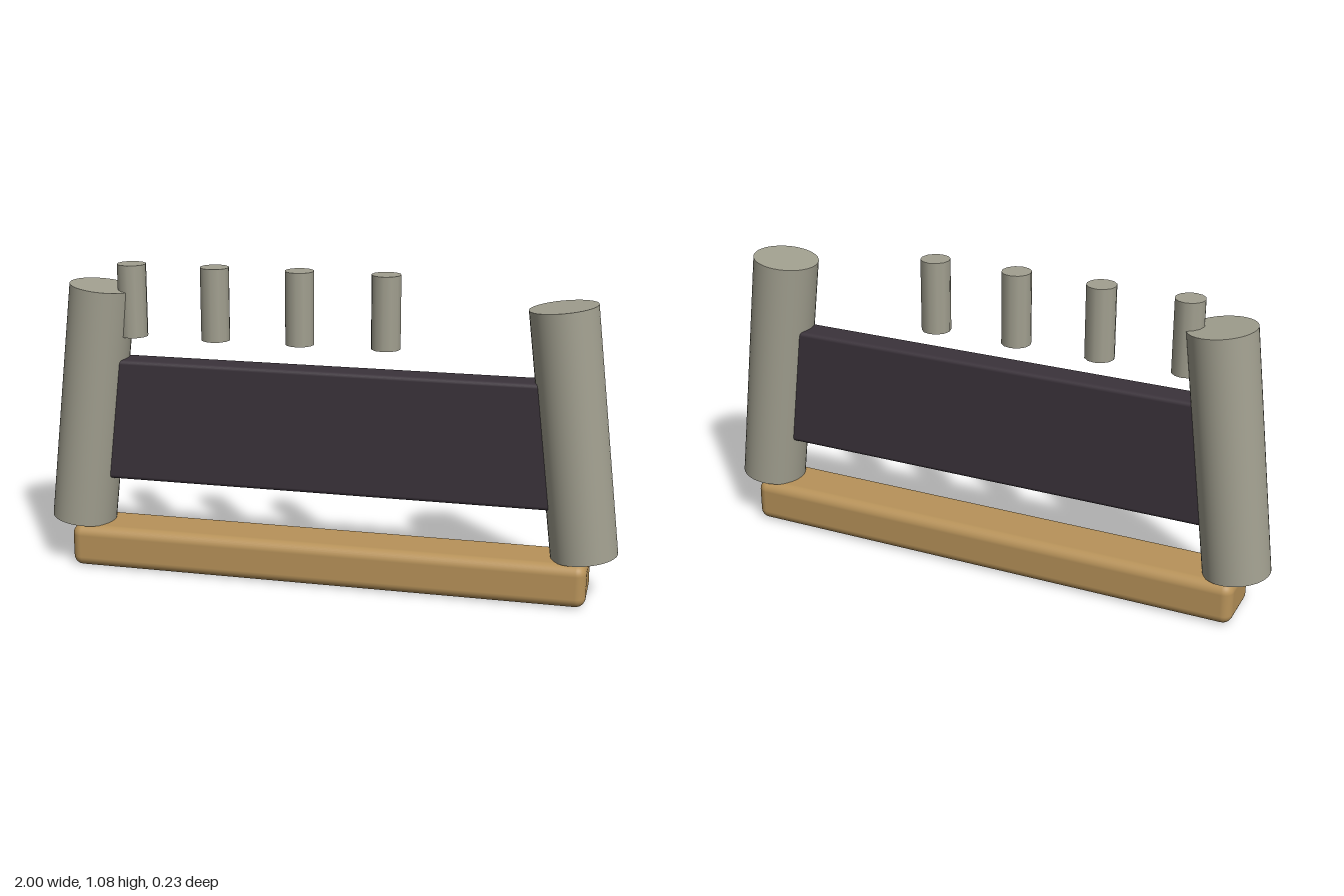
import * as THREE from 'three';
import { RoundedBoxGeometry } from 'three/addons/geometries/RoundedBoxGeometry.js';

export function createModel() {
  const model = new THREE.Group();
  const material = (name, color) => {
    const m = new THREE.MeshStandardMaterial({ color });
    m.name = name;
    return m;
  };
  const stone = material('warm grey', 0xa2a090);
  const wood = material('tan wood', 0xb8935a);
  const dark = material('dark plum', 0x3b333b);

  const add = (name, geometry, mat, x, y) => {
    const mesh = new THREE.Mesh(geometry, mat);
    mesh.name = name;
    mesh.position.set(x, y, 0);
    model.add(mesh);
    return mesh;
  };

  // Softly rounded base bar
  add('base', new RoundedBoxGeometry(1.81, 0.15, 0.208, 4, 0.035), wood, 0, 0.075);

  // Panel held between the posts, with narrow bevelled edges
  add('panel', new RoundedBoxGeometry(1.6, 0.43, 0.104, 2, 0.014), dark, 0, 0.535);

  // Two posts leaning inwards
  const postGeometry = new THREE.CylinderGeometry(0.113, 0.113, 0.847, 40);
  for (const side of [-1, 1]) {
    const post = add(side > 0 ? 'leftPost' : 'rightPost', postGeometry, stone, side * 0.838, 0.579);
    post.rotation.z = side * 0.12;
  }

  // Row of four upright pegs above the panel
  const pegGeometry = new THREE.CylinderGeometry(0.05, 0.05, 0.25, 12);
  for (let i = 0; i < 4; i++) {
    add('peg' + (i + 1), pegGeometry, stone, -0.68 + i * 0.295, 0.955);
  }

  return model;
}
